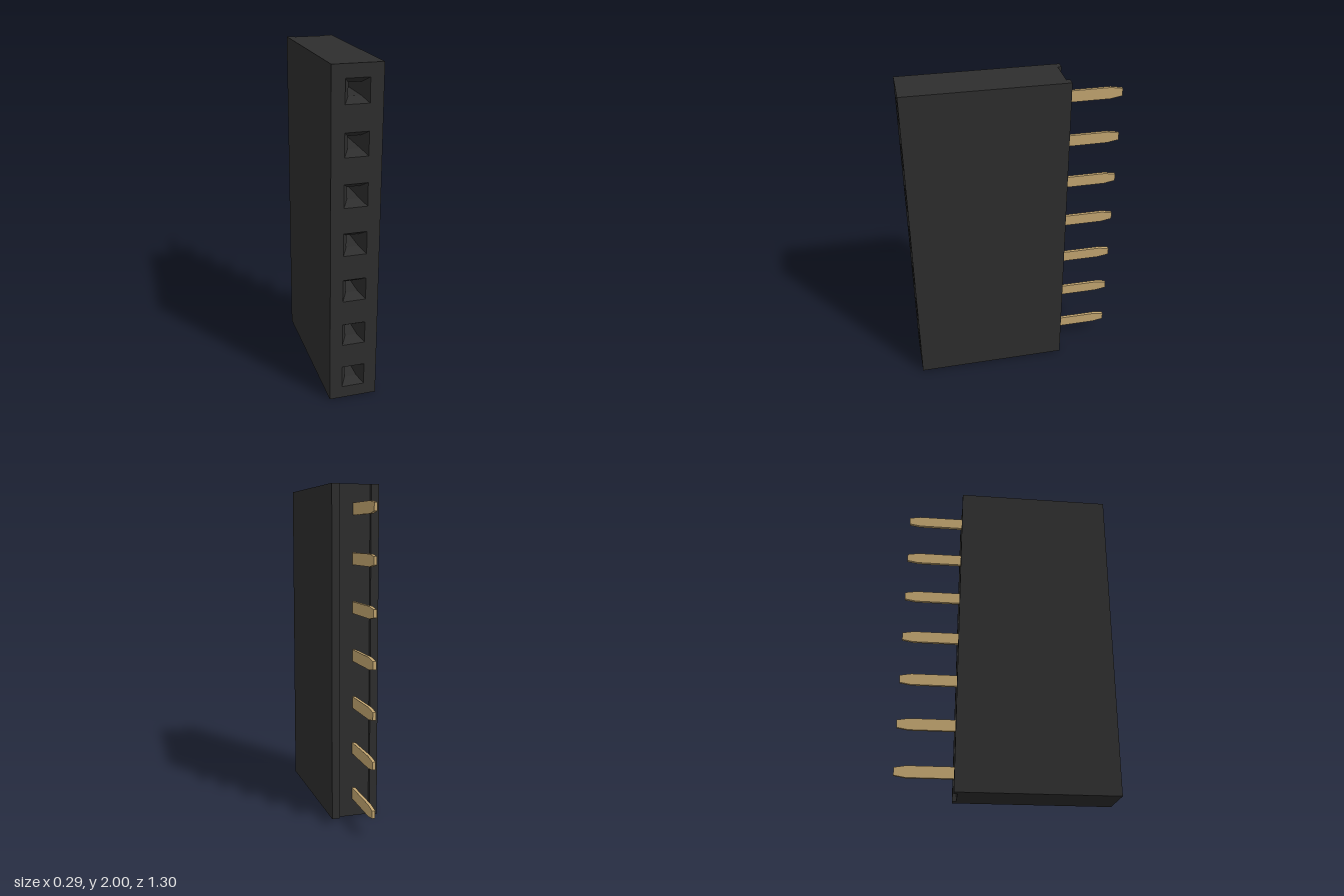
import * as THREE from 'three';

const COUNT = 7;
const PITCH = 2 / COUNT;
const HALF = PITCH / 2;      // half width of the housing
const FRONT = 0.65, BACK = -0.305;
const MOUTH = 0.068, BORE = 0.036; // half sizes of the socket openings
const FUNNEL = 0.05;         // depth of the tapered lead-in
const FLOOR = 0.25;          // z of the socket floor

const slotY = (i) => (i + 0.5) * PITCH;

function polygon(points) {
  return new THREE.Shape(points.map(([x, y]) => new THREE.Vector2(x, y)));
}

// Front outline pierced by one square hole per socket
function piercedSlab(holeHalf, z0, z1) {
  const shape = polygon([[-HALF, 0], [HALF, 0], [HALF, 2], [-HALF, 2]]);
  for (let i = 0; i < COUNT; i++) {
    const y = slotY(i), h = holeHalf;
    shape.holes.push(polygon([[-h, y - h], [-h, y + h], [h, y + h], [h, y - h]]));
  }
  return new THREE.ExtrudeGeometry(shape, { depth: z1 - z0, bevelEnabled: false }).translate(0, 0, z0);
}

export function createModel() {
  const model = new THREE.Group();
  model.name = 'pinSocketHeader';
  const plastic = new THREE.MeshStandardMaterial({ color: 0x2d2d2d });
  plastic.name = 'blackPlastic';
  const brass = new THREE.MeshStandardMaterial({ color: 0xc2a570 });
  brass.name = 'brass';

  const add = (name, geometry, material) => {
    const mesh = new THREE.Mesh(geometry, material);
    mesh.name = name;
    model.add(mesh);
    return mesh;
  };

  // Rear housing: plan outline with a channel along the back, extruded upward
  const channel = 0.095, channelZ = -0.283;
  const plan = polygon([
    [-HALF, -FLOOR], [HALF, -FLOOR], [HALF, -BACK], [channel, -BACK],
    [channel, -channelZ], [-channel, -channelZ], [-channel, -BACK], [-HALF, -BACK],
  ]);
  add('rearHousing', new THREE.ExtrudeGeometry(plan, { depth: 2, bevelEnabled: false }).rotateX(-Math.PI / 2), plastic);

  // Front housing: narrow bores, then wider mouths
  add('boreHousing', piercedSlab(BORE, FLOOR, FRONT - FUNNEL), plastic);
  add('mouthHousing', piercedSlab(MOUTH, FRONT - FUNNEL, FRONT), plastic);

  // Tapered lead-in, mirrored so its faces look inward
  const funnel = new THREE.CylinderGeometry(MOUTH * Math.SQRT2, BORE * Math.SQRT2, FUNNEL, 4, 1, true)
    .rotateY(Math.PI / 4).rotateX(Math.PI / 2).scale(-1, 1, 1).toNonIndexed();
  funnel.computeVertexNormals();

  // Flat pin with tapered ends, reaching from inside the socket out of the back
  const thick = 0.019;
  const profile = polygon([
    [-0.65, -0.023], [-0.58, -0.035], [0.29, -0.035], [0.34, -0.028],
    [0.34, 0.028], [0.29, 0.035], [-0.58, 0.035], [-0.65, 0.023],
  ]);
  const pin = new THREE.ExtrudeGeometry(profile, { depth: thick, bevelEnabled: false })
    .translate(0, 0, -thick / 2).rotateY(-Math.PI / 2);

  for (let i = 0; i < COUNT; i++) {
    add('socketFunnel', funnel, plastic).position.set(0, slotY(i), FRONT - FUNNEL / 2);
    add('pin', pin, brass).position.y = slotY(i);
  }
  return model;
}
